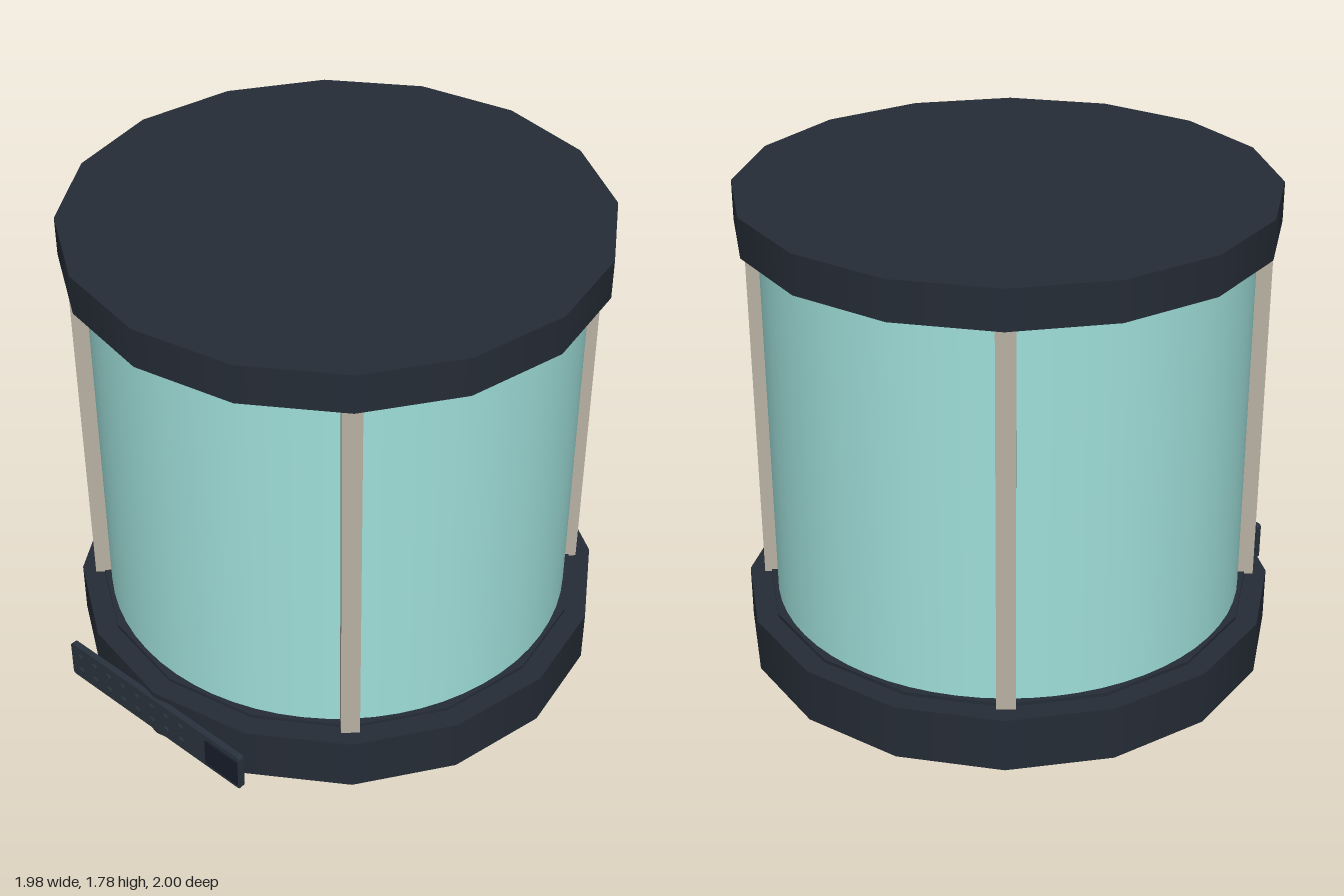
import * as THREE from 'three';

const mat = (color) => new THREE.MeshStandardMaterial({ color });

export function createModel() {
  const model = new THREE.Group();
  const dark = mat(0x252c36);
  const panelMat = mat(0x29333d);
  const screenMat = mat(0x161d29);
  const tan = mat(0xb8b0a2);
  const glassMat = mat(0x9fdfda);

  const add = (name, geometry, material, x, y, z, parent = model) => {
    const mesh = new THREE.Mesh(geometry, material);
    mesh.name = name;
    mesh.position.set(x, y, z);
    parent.add(mesh);
    return mesh;
  };
  // Upright sixteen-sided disc between two heights
  const disc = (name, r, y0, y1, material, sides = 16) =>
    add(name, new THREE.CylinderGeometry(r, r, y1 - y0, sides), material, 0, (y0 + y1) / 2, -0.01);

  // Base with its raised seat, and the lid with its seal
  disc('base', 0.99, 0, 0.205, dark);
  disc('baseSeat', 0.91, 0.2, 0.218, dark);
  disc('lid', 0.965, 1.635, 1.78, dark);
  disc('lidSeal', 0.91, 1.625, 1.64, tan);

  // Round chamber wall
  disc('chamber', 0.877, 0.21, 1.63, glassMat, 64);

  // Four posts on the diagonals
  for (let i = 0; i < 4; i++) {
    const a = Math.PI / 4 + (i * Math.PI) / 2;
    const post = add('post', new THREE.BoxGeometry(0.067, 1.43, 0.067), tan,
      0.9 * Math.sin(a), 0.925, 0.9 * Math.cos(a) - 0.005);
    post.rotation.y = a;
  }

  // Control panel: rounded plate, buttons and display
  const panel = new THREE.Group();
  panel.name = 'controlPanel';
  panel.position.set(0, 0.105, 0.967);
  model.add(panel);

  const w = 0.438, h = 0.077, r = 0.015;
  const plate = new THREE.Shape();
  plate.moveTo(-w + r, -h);
  plate.lineTo(w - r, -h);
  plate.quadraticCurveTo(w, -h, w, -h + r);
  plate.lineTo(w, h - r);
  plate.quadraticCurveTo(w, h, w - r, h);
  plate.lineTo(-w + r, h);
  plate.quadraticCurveTo(-w, h, -w, h - r);
  plate.lineTo(-w, -h + r);
  plate.quadraticCurveTo(-w, -h, -w + r, -h);
  add('panelPlate', new THREE.ExtrudeGeometry(plate, { depth: 0.023, bevelEnabled: false, curveSegments: 4 }),
    panelMat, 0, 0, 0, panel);
  add('display', new THREE.BoxGeometry(0.156, 0.112, 0.012), screenMat, 0.35, 0, 0.024, panel);

  const button = new THREE.CylinderGeometry(0.015, 0.015, 0.01, 12).rotateX(Math.PI / 2);
  for (let col = 0; col < 8; col++) {
    for (const y of [-0.034, 0.032]) {
      add('button', button, panelMat, -0.388 + col * 0.0757, y, 0.026, panel);
    }
  }
  return model;
}
